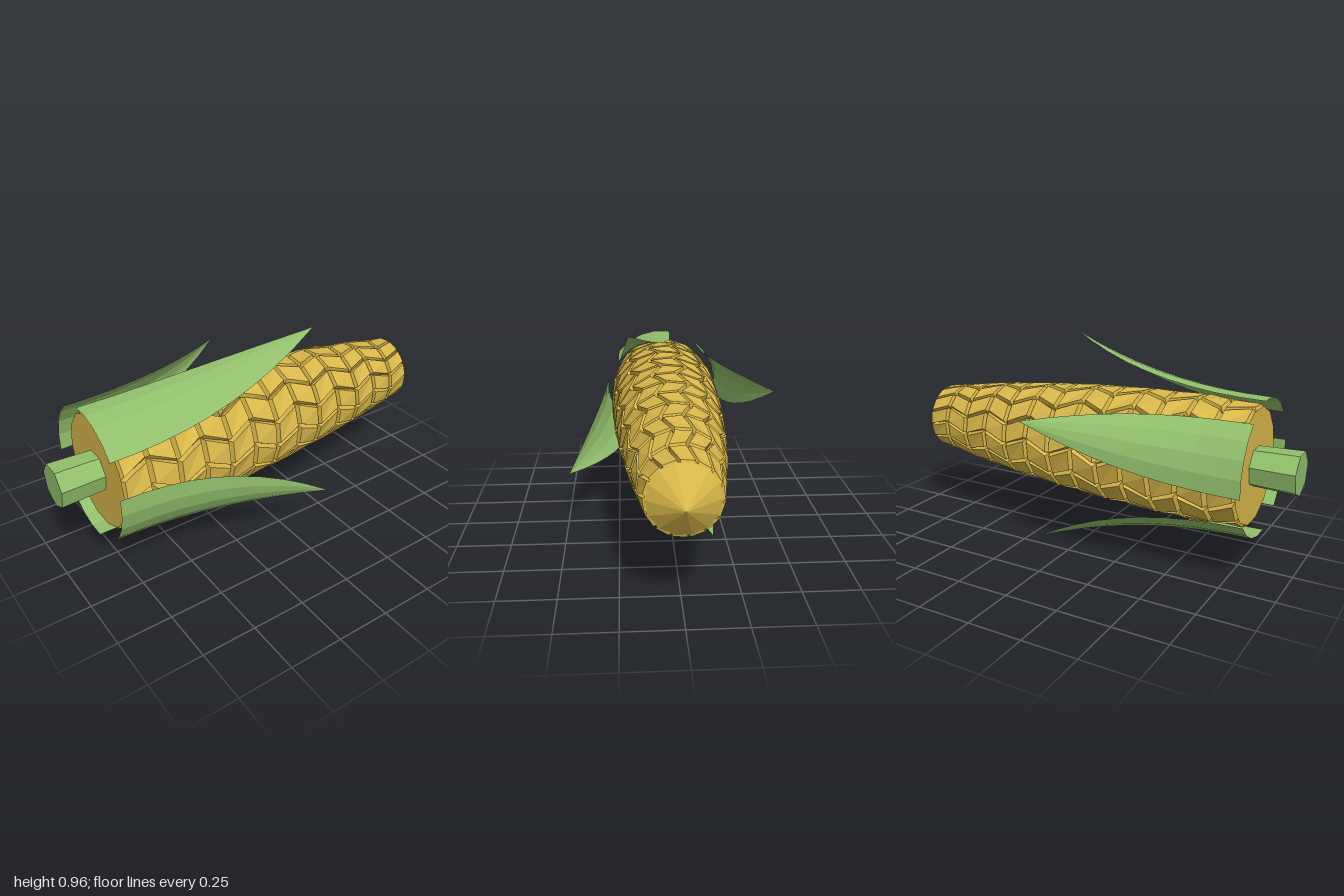
import * as THREE from 'three';

const CY = 0.5;            // height of the cob axis, which runs along x
const COLS = 14, ROWS = 13, X0 = -0.8, PITCH = 0.13;
const STEP = (Math.PI * 2) / COLS;

// point at distance r and angle a around the cob axis
const polar = (x, r, a) => new THREE.Vector3(x, CY + r * Math.sin(a), r * Math.cos(a));

// outer radius of the cob along x
const PROFILE = [[-0.8, 0.27], [-0.55, 0.284], [-0.28, 0.278], [0, 0.264], [0.25, 0.243],
  [0.5, 0.216], [0.76, 0.178], [0.89, 0.156]];
function cobRadius(x) {
  for (let i = 1; i < PROFILE.length; i++) {
    const [xa, ra] = PROFILE[i - 1], [xb, rb] = PROFILE[i];
    if (x <= xb) return ra + (rb - ra) * (x - xa) / (xb - xa);
  }
  return PROFILE[PROFILE.length - 1][1];
}

function fromQuads(quads) {
  const pos = [];
  for (const [a, b, c, d] of quads) for (const p of [a, b, c, a, c, d]) pos.push(p.x, p.y, p.z);
  const g = new THREE.BufferGeometry();
  g.setAttribute('position', new THREE.Float32BufferAttribute(pos, 3));
  g.computeVertexNormals();
  return g;
}

// one ring of bevelled kernels, skewed one way or the other on alternate rings
function kernelRing(i) {
  const quads = [];
  const xa = X0 + i * PITCH, xb = xa + PITCH;
  const shift = x => (x - xa) / PITCH;
  const twist = t => ((i % 2 ? 1 - t : t) - 0.5) * 0.5 * STEP;
  for (let k = 0; k < COLS; k++) {
    const corners = (inX, inA, sink) => [[xa + inX, inA], [xb - inX, inA], [xb - inX, 1 - inA], [xa + inX, 1 - inA]]
      .map(([x, u]) => polar(x, cobRadius(x) - sink, (k + u) * STEP + twist(shift(x))));
    const low = corners(0, 0, 0.028), top = corners(0.011, 0.09, 0);
    quads.push(top);
    for (let j = 0; j < 4; j++) {
      const n = (j + 1) % 4;
      quads.push([low[j], low[n], top[n], top[j]]);
    }
  }
  return fromQuads(quads);
}

// cupped husk leaf, curling away from the cob to a point
function huskLeaf(angle, tipX) {
  const N = 9, M = 4, base = -0.84, quads = [];
  const out = new THREE.Vector3(0, Math.sin(angle), Math.cos(angle));
  const side = new THREE.Vector3(0, Math.cos(angle), -Math.sin(angle));
  const point = (i, j) => {
    const t = i / N, s = (j / M) * 2 - 1, bend = s * Math.PI / 6;
    const w = 0.155 * (1 - Math.pow(t, 2.4));
    const r = 0.308 + 0.212 * Math.pow(t, 2.1) - 2 * w * (1 - Math.cos(bend));
    return new THREE.Vector3(base + (tipX - base) * t, CY, 0)
      .addScaledVector(out, r).addScaledVector(side, 2 * w * Math.sin(bend));
  };
  for (let i = 0; i < N; i++) for (let j = 0; j < M; j++)
    quads.push([point(i, j), point(i + 1, j), point(i + 1, j + 1), point(i, j + 1)]);
  return fromQuads(quads);
}

export function createModel() {
  const model = new THREE.Group();
  model.name = 'cornCob';
  const yellow = new THREE.MeshStandardMaterial({ name: 'kernelYellow', color: 0xd9b84a, flatShading: true });
  const green = new THREE.MeshStandardMaterial({ name: 'huskGreen', color: 0x92bf6c, flatShading: true, side: THREE.DoubleSide });
  const add = (name, geometry, material) => {
    const mesh = new THREE.Mesh(geometry, material);
    mesh.name = name;
    model.add(mesh);
    return mesh;
  };

  // kernels
  for (let i = 0; i < ROWS; i++) add('kernelRing' + (i + 1), kernelRing(i), yellow);

  // flat base and pointed tip of the cob
  add('cobBase', new THREE.CircleGeometry(0.262, COLS).rotateY(-Math.PI / 2), yellow).position.set(X0, CY, 0);
  add('cobTip', new THREE.ConeGeometry(0.152, 0.12, COLS).rotateZ(-Math.PI / 2), yellow).position.set(0.94, CY, 0);

  // stem
  add('stem', new THREE.CylinderGeometry(0.092, 0.1, 0.22, 7).rotateZ(-Math.PI / 2).rotateX(Math.PI / 2), green)
    .position.set(-0.89, CY, 0);

  // four husk leaves, alternately longer and shorter
  for (let k = 0; k < 4; k++)
    add('huskLeaf' + (k + 1), huskLeaf(THREE.MathUtils.degToRad(68 + 90 * k), k % 2 ? 0.1 : 0.21), green);

  return model;
}
